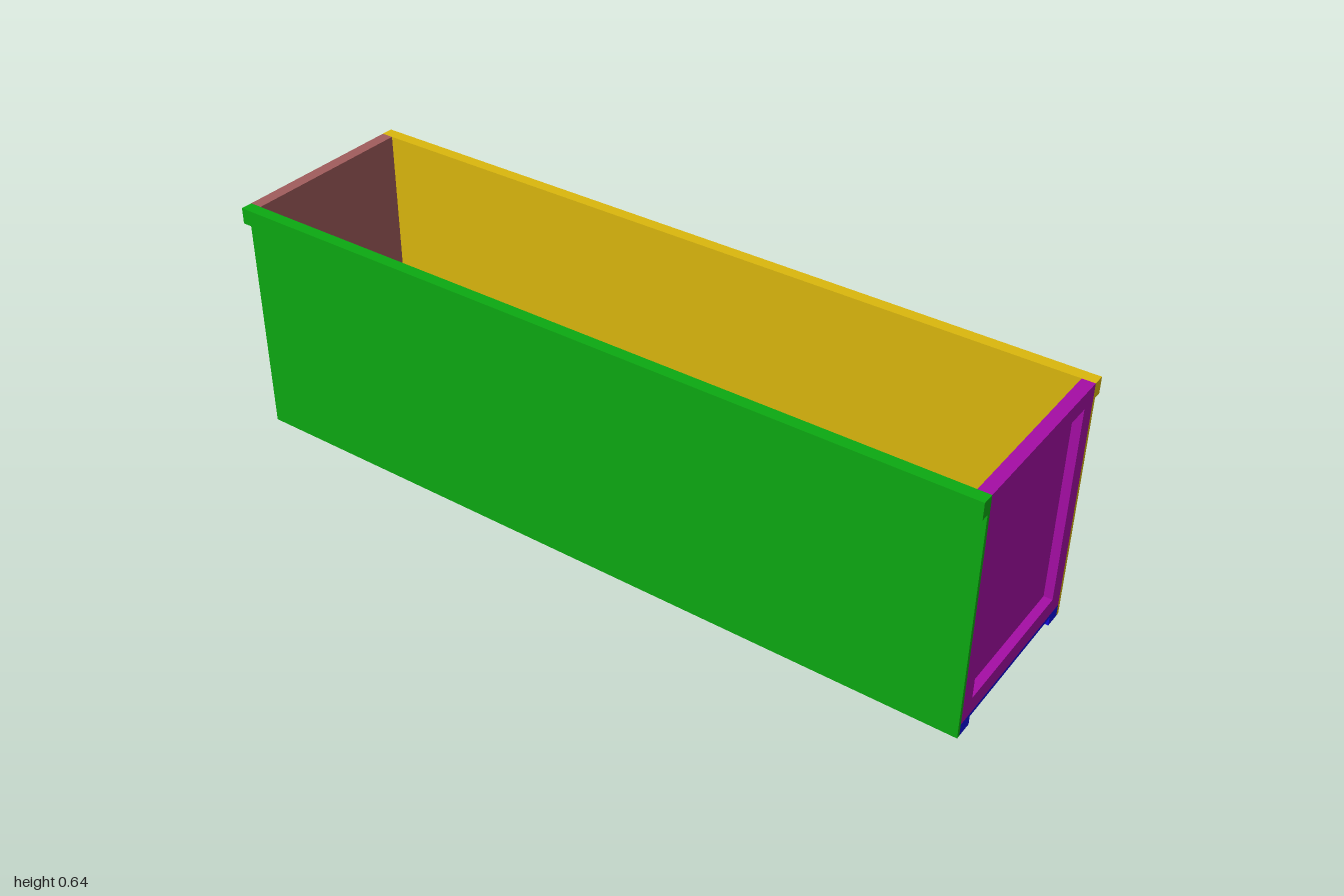
import * as THREE from 'three';

const LENGTH = 2, INNER = 0.236, OUTER = 0.246, RIM = 0.267;
const TOP = 0.637, RIM_BASE = 0.595, FLOOR_TOP = 0.032, FLOOR_BASE = 0.023;
const END = 0.032, SKIN = 0.01, PANEL_X = 0.194, PANEL_BASE = 0.076;

// Flat outline (list of [x, y]) extruded along z from z = 0
function extrude(points, depth, hole) {
  const shape = new THREE.Shape(points.map(([x, y]) => new THREE.Vector2(x, y)));
  if (hole) shape.holes.push(new THREE.Path(hole.map(([x, y]) => new THREE.Vector2(x, y))));
  return new THREE.ExtrudeGeometry(shape, { depth, bevelEnabled: false });
}

const rect = (x, y0, y1) => [[-x, y0], [x, y0], [x, y1], [-x, y1]];

function part(name, geometry, color, z = 0) {
  const mesh = new THREE.Mesh(geometry, new THREE.MeshStandardMaterial({ color }));
  mesh.name = name;
  mesh.position.z = z;
  return mesh;
}

// Thin long wall with a thick rim along its top outer edge
function sideWall(name, side, color) {
  const profile = [[INNER, 0], [OUTER, 0], [OUTER, RIM_BASE], [RIM, RIM_BASE], [RIM, TOP], [INNER, TOP]];
  return part(name, extrude(profile.map(([x, y]) => [side * x, y]), LENGTH), color, -LENGTH / 2);
}

// End wall: thin panel set behind a raised border that faces outward
function endWall(name, color) {
  const wall = new THREE.Group();
  wall.name = name;
  wall.add(part(name + 'Panel', extrude(rect(INNER, FLOOR_TOP, TOP), SKIN), color, LENGTH / 2 - END));
  wall.add(part(name + 'Border',
    extrude(rect(INNER, FLOOR_TOP, TOP), END - SKIN, rect(PANEL_X, PANEL_BASE, RIM_BASE)),
    color, LENGTH / 2 - END + SKIN));
  return wall;
}

export function createModel() {
  const model = new THREE.Group();
  model.name = 'openContainer';

  // Floor with two full-length runners underneath
  const floorProfile = [
    [-INNER, 0], [-PANEL_X, 0], [-PANEL_X, FLOOR_BASE], [PANEL_X, FLOOR_BASE],
    [PANEL_X, 0], [INNER, 0], [INNER, FLOOR_TOP], [-INNER, FLOOR_TOP],
  ];
  model.add(part('floor', extrude(floorProfile, LENGTH), 0x0d0ddd, -LENGTH / 2));

  // Long walls
  model.add(sideWall('leftWall', 1, 0xdbb70d));
  model.add(sideWall('rightWall', -1, 0x0ca912));

  // End walls
  model.add(endWall('frontWall', 0xa50da5));
  const back = endWall('backWall', 0xa05c5c);
  back.rotation.y = Math.PI;
  model.add(back);

  return model;
}
